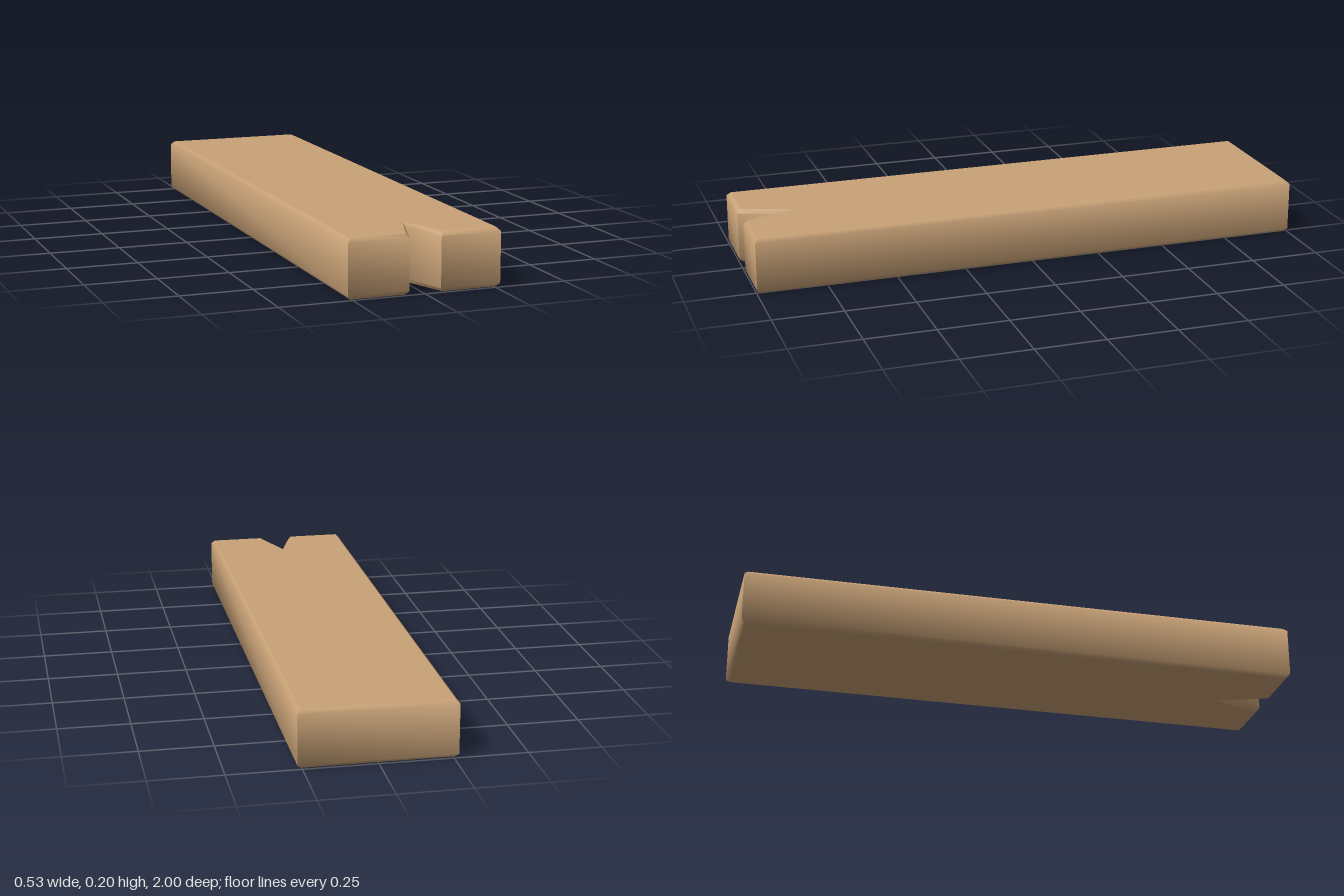
import * as THREE from 'three';
import { toCreasedNormals } from 'three/addons/utils/BufferGeometryUtils.js';

const WIDTH = 0.533, HEIGHT = 0.2, LENGTH = 2, BEVEL = 0.0133;

// Plan outline of the flat faces, with a V notch in the front end
function plankOutline() {
  const x = WIDTH / 2 - BEVEL, z = LENGTH / 2 - BEVEL;
  const notchHalf = 0.065, notchTip = 0.81;
  return new THREE.Shape([
    [-x, -z], [x, -z], [x, z], [notchHalf, z], [0, notchTip], [-notchHalf, z], [-x, z],
  ].map(([px, pz]) => new THREE.Vector2(px, pz)));
}

export function createModel() {
  const wood = new THREE.MeshStandardMaterial({ color: 0xc9a277 });
  wood.name = 'lightWood';

  // Chamfered plank
  const depth = HEIGHT - 2 * BEVEL;
  const raw = new THREE.ExtrudeGeometry(plankOutline(), {
    depth, bevelEnabled: true, bevelThickness: BEVEL, bevelSize: BEVEL, bevelSegments: 1,
  });
  raw.rotateX(Math.PI / 2).translate(0, depth + BEVEL, 0);

  // Chamfers blend into the sides; top and bottom stay flat
  const flat = raw.attributes.normal.clone();
  const geometry = toCreasedNormals(raw, Math.PI / 3);
  const lids = raw.groups[0];
  for (let i = lids.start; i < lids.start + lids.count; i++) {
    geometry.attributes.normal.setXYZ(i, flat.getX(i), flat.getY(i), flat.getZ(i));
  }

  const plank = new THREE.Mesh(geometry, wood);
  plank.name = 'notchedPlank';
  const group = new THREE.Group();
  group.name = 'woodenPlank';
  group.add(plank);
  return group;
}
